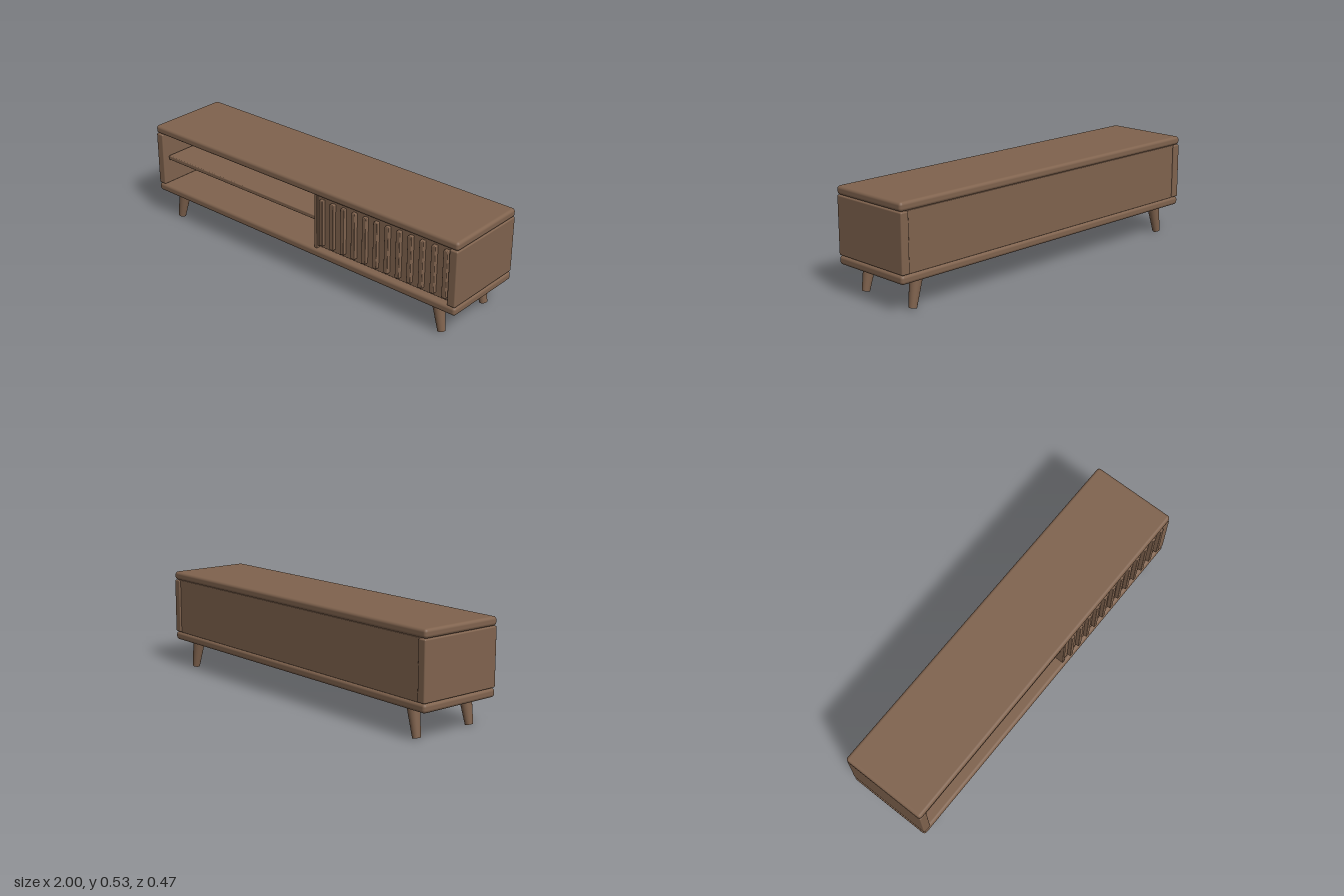
import * as THREE from 'three';
import { RoundedBoxGeometry } from 'three/addons/geometries/RoundedBoxGeometry.js';

export function createModel() {
  const model = new THREE.Group();
  model.name = 'mediaConsole';
  const wood = new THREE.MeshStandardMaterial({ color: 0x80634e });
  wood.name = 'walnutWood';

  // Rounded board given by its minimum and maximum corners
  function board(name, [x0, y0, z0], [x1, y1, z1], radius, parent = model) {
    const geometry = new RoundedBoxGeometry(x1 - x0, y1 - y0, z1 - z0, 2, radius);
    const mesh = new THREE.Mesh(geometry, wood);
    mesh.position.set((x0 + x1) / 2, (y0 + y1) / 2, (z0 + z1) / 2);
    mesh.name = name;
    parent.add(mesh);
    return mesh;
  }

  // Carcass: top and bottom slabs, sides, back
  board('topSlab', [-1, 0.489, -0.232], [1, 0.534, 0.23], 0.016);
  board('bottomSlab', [-1, 0.148, -0.232], [1, 0.193, 0.23], 0.016);
  board('rightSide', [-0.998, 0.194, -0.232], [-0.952, 0.488, 0.23], 0.007);
  board('leftSide', [0.952, 0.194, -0.232], [0.998, 0.488, 0.23], 0.007);
  board('backPanel', [-0.955, 0.192, -0.224], [0.955, 0.49, -0.206], 0.003);

  // Interior: divider and open shelf
  board('divider', [0.131, 0.192, -0.21], [0.148, 0.49, 0.218], 0.003);
  board('shelf', [-0.945, 0.336, -0.21], [0.133, 0.36, 0.2], 0.005);

  // Slatted door
  const door = new THREE.Group();
  door.name = 'slattedDoor';
  model.add(door);
  board('doorPanel', [0.15, 0.207, 0.194], [0.953, 0.486, 0.213], 0.003, door);
  for (let i = 0; i < 12; i++) {
    const x = 0.174 + i * 0.068;
    board('doorSlat', [x, 0.226, 0.208], [x + 0.024, 0.475, 0.234], 0.004, door);
  }

  // Splayed tapered legs
  const up = new THREE.Vector3(0, 1, 0);
  for (const sx of [-1, 1]) {
    for (const sz of [-1, 1]) {
      const foot = new THREE.Vector3(sx * 0.892, 0.004, sz * 0.172);
      const head = new THREE.Vector3(sx * 0.862, 0.16, sz * 0.167);
      const axis = head.clone().sub(foot);
      const leg = new THREE.Mesh(new THREE.CylinderGeometry(0.033, 0.02, axis.length(), 32), wood);
      leg.position.copy(foot).add(head).multiplyScalar(0.5);
      leg.quaternion.setFromUnitVectors(up, axis.normalize());
      leg.name = (sz > 0 ? 'front' : 'back') + (sx > 0 ? 'Left' : 'Right') + 'Leg';
      model.add(leg);
    }
  }
  return model;
}
